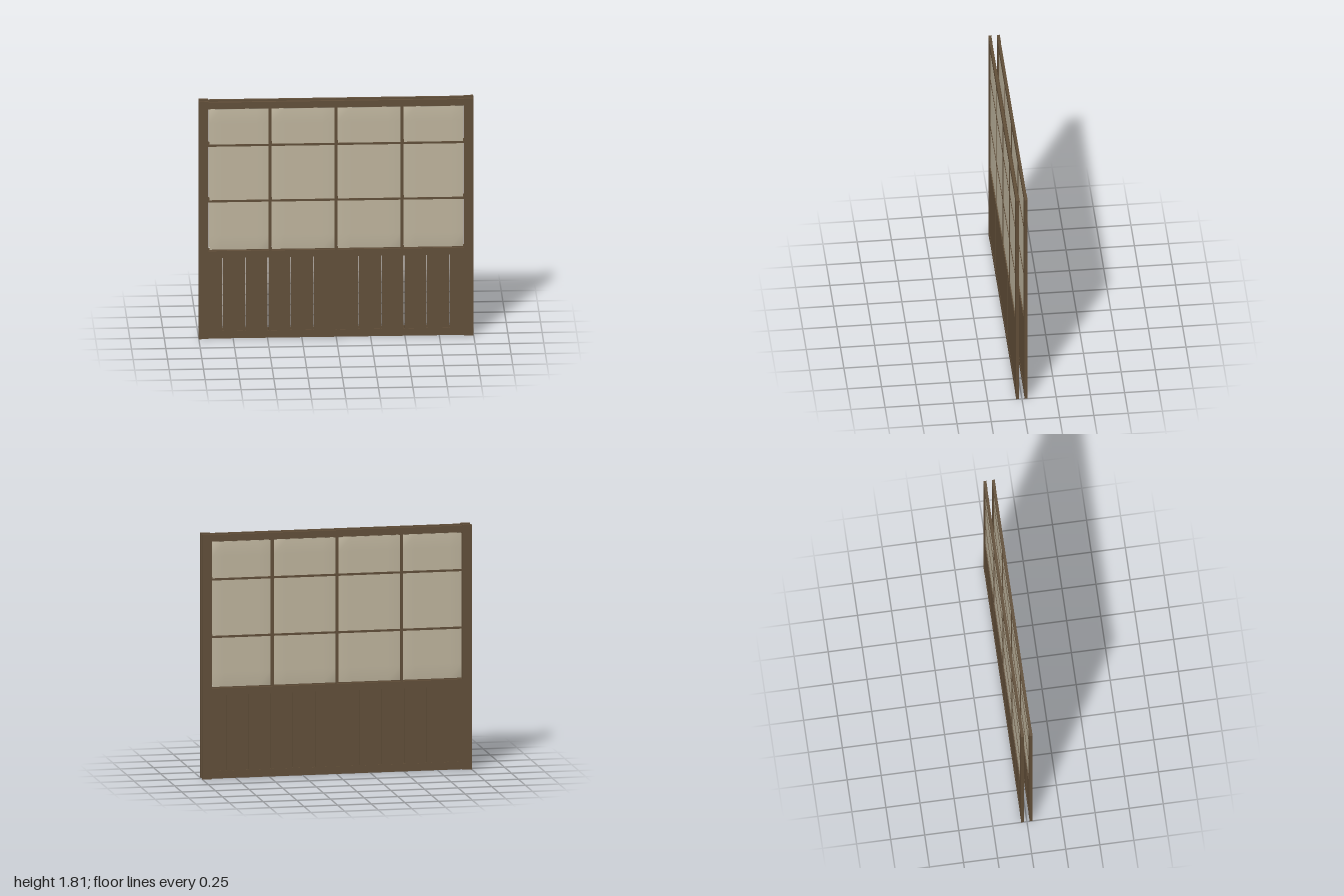
import * as THREE from 'three';
import { mergeVertices } from 'three/addons/utils/BufferGeometryUtils.js';

const wood = new THREE.MeshStandardMaterial({ color: 0x624f39 });
const paper = new THREE.MeshStandardMaterial({ color: 0xbfb59e });

// Box given by its x and y limits, centred on z = 0
function slab(name, x0, x1, y0, y1, depth) {
  const mesh = new THREE.Mesh(new THREE.BoxGeometry(x1 - x0, y1 - y0, depth), wood);
  mesh.position.set((x0 + x1) / 2, (y0 + y1) / 2, 0);
  mesh.name = name;
  return mesh;
}

// Thin sheet with welded corners, so its shading rolls softly over the edges
function softSheet(name, x0, x1, y0, y1, depth) {
  let geo = new THREE.BoxGeometry(x1 - x0, y1 - y0, depth, 5, 10, 1);
  geo.deleteAttribute('normal');
  geo.deleteAttribute('uv');
  geo = mergeVertices(geo);
  geo.computeVertexNormals();
  const mesh = new THREE.Mesh(geo, paper);
  mesh.position.set((x0 + x1) / 2, (y0 + y1) / 2, 0);
  mesh.name = name;
  return mesh;
}

function slidingPanel(name) {
  const g = new THREE.Group();
  g.name = name;

  // Outer frame
  g.add(slab('leftStile', 0.93, 1, 0, 1.81, 0.022));
  g.add(slab('rightStile', -1, -0.93, 0, 1.81, 0.022));
  g.add(slab('topRail', -0.93, 0.93, 1.755, 1.805, 0.02));
  g.add(slab('middleRail', -0.93, 0.93, 0.618, 0.67, 0.02));
  g.add(slab('bottomRail', -0.93, 0.93, 0.004, 0.06, 0.02));

  // Lower boards with narrow gaps between them
  const pitch = 0.165, gap = 0.004;
  for (let i = -6; i < 6; i++) {
    const x0 = i === -6 ? -0.93 : i * pitch + gap;
    const x1 = i === 5 ? 0.93 : (i + 1) * pitch - gap;
    g.add(slab('board', x0, x1, 0.06, 0.618, 0.016));
  }
  g.add(slab('centreTongue', -gap, gap, 0.06, 0.618, 0.006));

  // Glazing bars
  const bars = [-0.48, 0, 0.48];
  for (const x of bars) g.add(slab('verticalBar', x - 0.01, x + 0.01, 0.67, 1.755, 0.016));
  for (const y of [1.05, 1.475]) g.add(slab('horizontalBar', -0.93, 0.93, y - 0.008, y + 0.008, 0.014));

  // Paper sheets, one tall sheet per column
  const edges = [-0.935, ...bars, 0.935];
  for (let i = 0; i < 4; i++) {
    g.add(softSheet('paperSheet', edges[i] + 0.012, edges[i + 1] - 0.012, 0.68, 1.75, 0.008));
  }
  return g;
}

export function createModel() {
  const model = new THREE.Group();
  model.name = 'slidingScreen';
  // Two matching panels on parallel tracks
  const front = slidingPanel('frontPanel');
  front.position.z = 0.031;
  const back = slidingPanel('backPanel');
  back.position.z = -0.031;
  model.add(front, back);
  return model;
}
